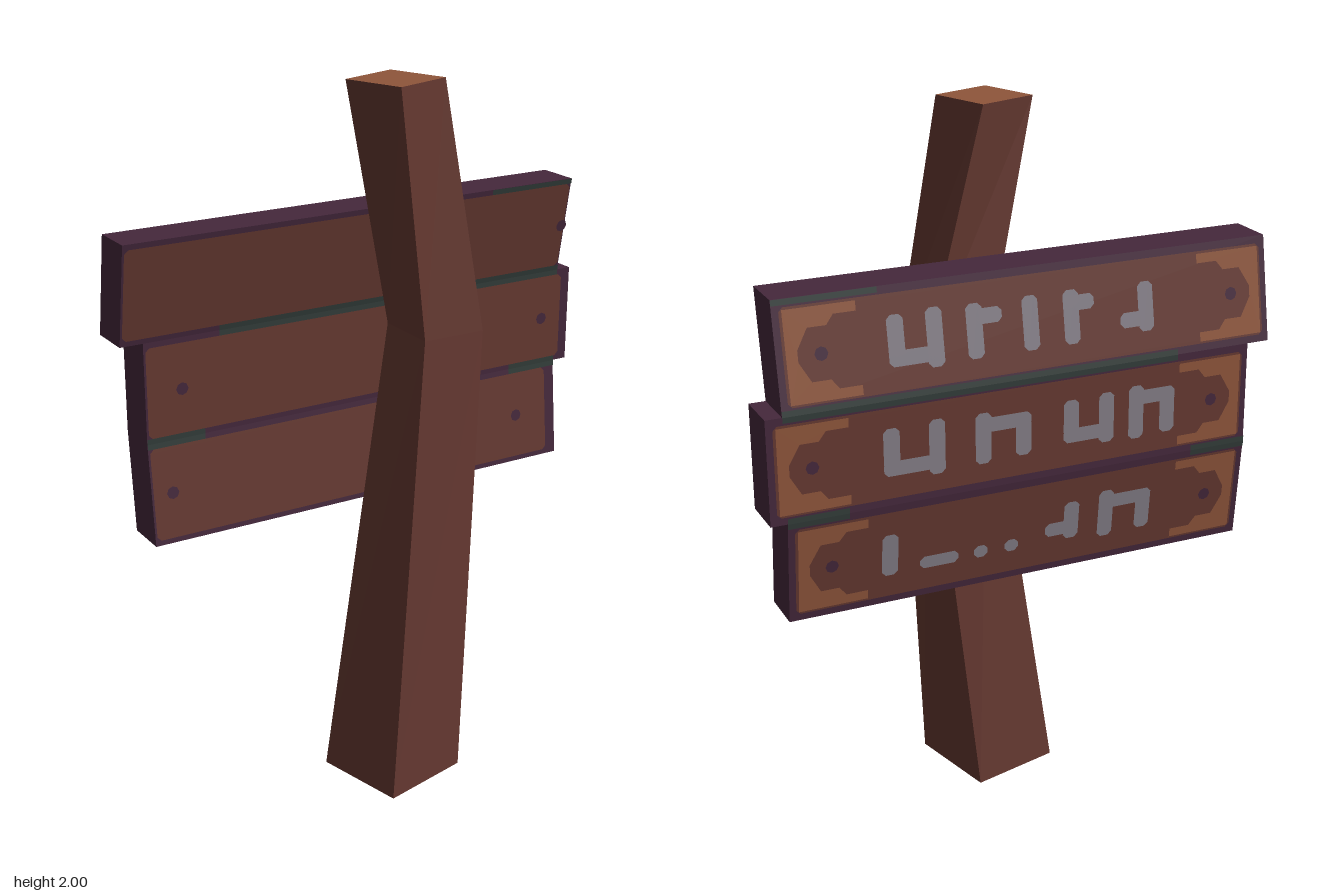
import * as THREE from 'three';

const mat = (name, color) => {
  const m = new THREE.MeshStandardMaterial({ color });
  m.name = name;
  return m;
};

export function createModel() {
  const brown = mat('brown wood', 0x663931);
  const tan = mat('worn tan wood', 0x8f563b);
  const plum = mat('dark plum edge', 0x45283c);
  const slate = mat('mossy slate', 0x323c39);
  const paint = mat('faded paint', 0x847e87);
  const model = new THREE.Group();
  model.name = 'signpost';

  const add = (parent, name, geometry, material) => {
    const m = new THREE.Mesh(geometry, material);
    m.name = name;
    parent.add(m);
  };

  // Crooked post: each cross-section is a turned rectangle given by its
  // height, centre and the half-diagonal vectors to two neighbouring corners
  const ring = (y, cx, cz, ax, az, bx, bz) => [
    [cx + ax, y, cz + az], [cx + bx, y, cz + bz], [cx - ax, y, cz - az], [cx - bx, y, cz - bz]];
  const foot = ring(0, -0.042, 0.103, -0.097, 0.165, 0.163, 0.103);
  const bend = ring(1.32, 0.092, 0.104, -0.092, 0.094, 0.092, 0.094);
  const head = ring(2, -0.035, 0.105, -0.055, 0.115, 0.115, 0.055);
  const pos = [];
  const quad = (a, b, c, d) => pos.push(...a, ...b, ...c, ...a, ...c, ...d);
  for (const [low, high] of [[foot, bend], [bend, head]]) {
    for (let i = 0; i < 4; i++) {
      const j = (i + 1) % 4;
      quad(low[i], low[j], high[j], high[i]);
    }
  }
  quad(foot[3], foot[2], foot[1], foot[0]);
  quad(...head);
  const postGeo = new THREE.BufferGeometry();
  postGeo.setAttribute('position', new THREE.Float32BufferAttribute(pos, 3));
  postGeo.computeVertexNormals();
  postGeo.addGroup(0, 54, 0);
  postGeo.addGroup(54, 6, 1);
  add(model, 'post', postGeo, [brown, tan]);

  const rect = (x0, y0, x1, y1) => [[x0, y0], [x1, y0], [x1, y1], [x0, y1]];
  // Rectangle with cut corners
  const blob = (x0, y0, x1, y1, c = 0.011) => [[x0 + c, y0], [x1 - c, y0], [x1, y0 + c], [x1, y1 - c],
    [x1 - c, y1], [x0 + c, y1], [x0, y1 - c], [x0, y0 + c]];

  // One plank: x and y ranges, centre depth at its bottom and top edges
  const plank = (name, [x0, x1], [y0, y1], [z0, z1], { trim, nails, mossLow, mossHigh, marks }) => {
    const group = new THREE.Group();
    group.name = name;
    const h = y1 - y0;
    const slope = (z1 - z0) / h;
    group.position.set(0, (y0 + y1) / 2, (z0 + z1) / 2);
    model.add(group);

    // Lean a part by sliding it in depth as it rises
    const lean = (geometry) => {
      const g = geometry.toNonIndexed();
      const a = g.attributes.position;
      for (let i = 0; i < a.count; i++) a.setZ(i, a.getZ(i) + slope * a.getY(i));
      g.computeVertexNormals();
      return g;
    };
    // Thin face lying on the front (side 1) or back (side -1)
    const plate = (part, points, side, layer, material) => {
      const shape = new THREE.Shape(points.map(([x, y]) => new THREE.Vector2(x * side, y)));
      const g = new THREE.ShapeGeometry(shape);
      g.translate(0, 0, 0.064 + 0.002 * layer);
      if (side < 0) g.rotateY(Math.PI);
      add(group, part, lean(g), material);
    };
    const nail = (x, side) => {
      const dot = new THREE.EllipseCurve(x, 0, 0.018, 0.018).getPoints(8).slice(0, 8);
      plate('nail', dot.map((p) => [p.x, p.y]), side, 3, plum);
    };

    const body = new THREE.BoxGeometry(x1 - x0, h, 0.128);
    body.translate((x0 + x1) / 2, 0, 0);
    add(group, 'plankBody', lean(body), plum);

    // Front face
    const top = h / 2;
    const f = top - 0.015;
    plate('frontFace', blob(x0 + 0.005, -f, x1 - trim, f), 1, 1, brown);
    nails.forEach((x) => nail(x, 1));

    // Back face
    const b = top - 0.02;
    plate('backFace', blob(x0 + 0.018, -b, x1 - 0.018, b), -1, 1, brown);

    // Moss along the seams, seen from both sides
    for (const side of [1, -1]) {
      mossLow.forEach(([a, c]) => plate('moss', rect(a, -top, c, -f), side, 1, slate));
      mossHigh.forEach(([a, c]) => plate('moss', rect(a, f, c, top), side, 1, slate));
    }

    // Worn bracket at each end of the back: stepped arms above and below
    const t = b - 0.006;
    const arm = [[0.19, t], [0.19, t - 0.025], [0.13, t - 0.025], [0.11, t - 0.05], [0.06, t - 0.05], [0.03, 0.015]];
    const bracket = [[0, -t], ...arm.map(([x, y]) => [x, -y]), ...arm.slice().reverse(), [0, t]];
    for (const s of [1, -1]) {
      const end = (s > 0 ? x1 : x0) - s * 0.025;
      plate('wornEnd', bracket.map(([x, y]) => [end - s * x, y]), -1, 2, tan);
      nail(end - s * 0.09, -1);
    }

    // Faded paint daubs [x, width, height]: a stroke, plus a cross stroke if broad
    const daub = (x, y, w, d) =>
      plate('paintDaub', blob(x - w / 2, y - d / 2, x + w / 2, y + d / 2), -1, 3, paint);
    marks.forEach(([x, w, d], i) => {
      const s = i % 2 ? 1 : -1;
      if (d < 0.06) {
        daub(x, d / 2 - 0.06, w, d);
      } else {
        daub(x + s * (w - 0.045) / 2, 0, 0.045, d);
        if (w > 0.06) daub(x, s * (d / 2 - 0.035), w, 0.04);
        if (w > 0.12) daub(x - s * (w - 0.045) / 2, -s * 0.015, 0.045, d - 0.04);
      }
    });
  };

  plank('topPlank', [-0.725, 0.675], [1.335, 1.62], [-0.195, -0.141], {
    trim: 0.004, nails: [0.66],
    mossLow: [[-0.44, 0.675]], mossHigh: [[0.4, 0.675]],
    marks: [[0.31, 0.15, 0.15], [0.12, 0.1, 0.14], [-0.01, 0.045, 0.14], [-0.15, 0.09, 0.14], [-0.32, 0.1, 0.13]],
  });
  plank('middlePlank', [-0.66, 0.72], [1.05, 1.335], [-0.2, -0.195], {
    trim: 0.03, nails: [-0.555, 0.62],
    mossLow: [[-0.66, -0.49], [0.51, 0.675]], mossHigh: [[-0.44, 0.675]],
    marks: [[0.33, 0.17, 0.15], [0.08, 0.16, 0.14], [-0.17, 0.15, 0.14], [-0.36, 0.14, 0.15]],
  });
  plank('bottomPlank', [-0.66, 0.675], [0.762, 1.05], [-0.175, -0.2], {
    trim: 0.035, nails: [-0.6, 0.53],
    mossLow: [], mossHigh: [[-0.66, -0.49], [0.51, 0.675]],
    marks: [[0.4, 0.045, 0.12], [0.26, 0.11, 0.035], [0.14, 0.04, 0.035], [0.05, 0.04, 0.035],
      [-0.1, 0.1, 0.11], [-0.29, 0.16, 0.14]],
  });
  return model;
}
